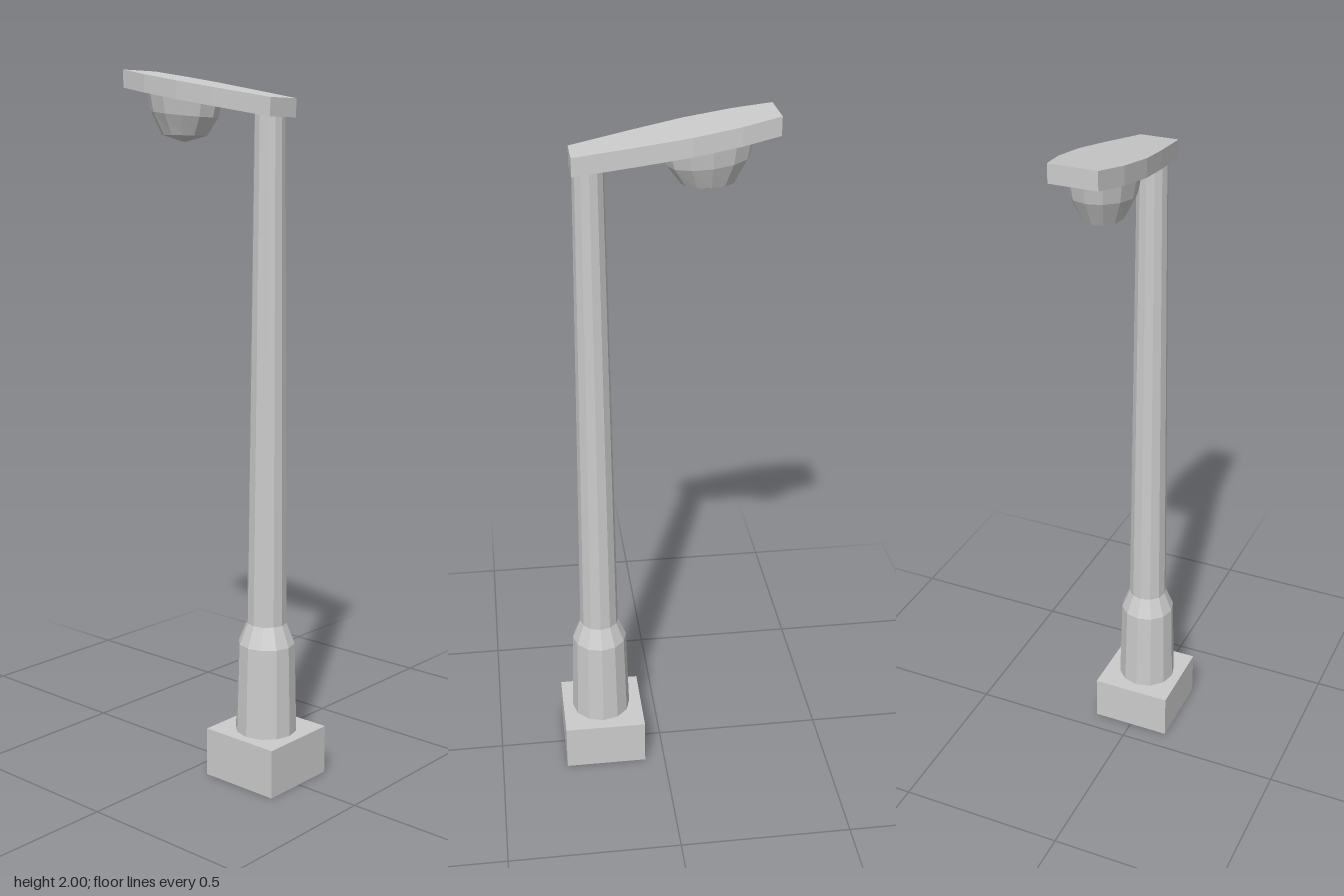
import * as THREE from 'three';

const CX = -0.004;      // axis of pole, arm and lamp
const POLE_Z = 0.184;
const SLOPE = 0.169;    // rise of the arm per unit towards the back
const material = new THREE.MeshStandardMaterial({ color: 0xcccccc, flatShading: true, side: THREE.DoubleSide });

const armUnderside = (z) => 1.86 + SLOPE * (0.23 - z);

function part(name, geometry) {
  const mesh = new THREE.Mesh(geometry, material);
  mesh.name = name;
  return mesh;
}

function lathe(profile, sides) {
  return new THREE.LatheGeometry(profile.map(([r, y]) => new THREE.Vector2(r, y)), sides);
}

// Move every vertex by a rule
function reshape(geometry, rule) {
  const pos = geometry.attributes.position;
  const v = new THREE.Vector3();
  for (let i = 0; i < pos.count; i++) {
    rule(v.fromBufferAttribute(pos, i));
    pos.setXYZ(i, v.x, v.y, v.z);
  }
  geometry.computeVertexNormals();
  return geometry;
}

// Square footing, hollow and open underneath
function footing() {
  const box = new THREE.BoxGeometry(0.24, 0.14, 0.242);
  const index = Array.from(box.index.array);
  index.splice(18, 6); // drop the bottom face
  box.setIndex(index);
  box.clearGroups();
  box.translate(0, 0.07, 0.181);
  return box;
}

// Tapered twelve-sided pole with a wider sleeve at the foot
function pole() {
  const g = lathe([[0.09, 0.095], [0.088, 0.14], [0.081, 0.4], [0.057, 0.46], [0.042, 1.875]], 12);
  return g.translate(CX, 0, POLE_Z);
}

// Flat arm with bowed sides, sloping up towards the back
function arm() {
  const side = [[0.054, 0.23], [0.079, 0.05], [0.092, -0.073], [0.087, -0.2], [0.066, -0.303]];
  const outline = [
    ...side.map(([x, z]) => new THREE.Vector2(x, -z)),
    ...side.slice().reverse().map(([x, z]) => new THREE.Vector2(-x, -z)),
  ];
  const g = new THREE.ExtrudeGeometry(new THREE.Shape(outline), { depth: 0.05, bevelEnabled: false });
  g.rotateX(-Math.PI / 2).translate(CX, 0, 0);
  return reshape(g, (v) => { v.y += armUnderside(v.z); });
}

// Oval lamp bowl, its rim following the slope of the arm
function lamp() {
  const depth = 0.123;
  const z0 = -0.128;
  const g = lathe([[0, -depth], [0.072, -0.104], [0.108, -0.046], [0.119, 0]], 12);
  return reshape(g, (v) => {
    const follow = 1 + v.y / depth;
    v.set(CX + v.x * 0.73, armUnderside(z0) + v.y - SLOPE * follow * v.z, z0 + v.z);
  });
}

export function createModel() {
  const group = new THREE.Group();
  group.name = 'streetLamp';
  group.add(part('footing', footing()), part('pole', pole()), part('arm', arm()), part('lampBowl', lamp()));
  return group;
}
